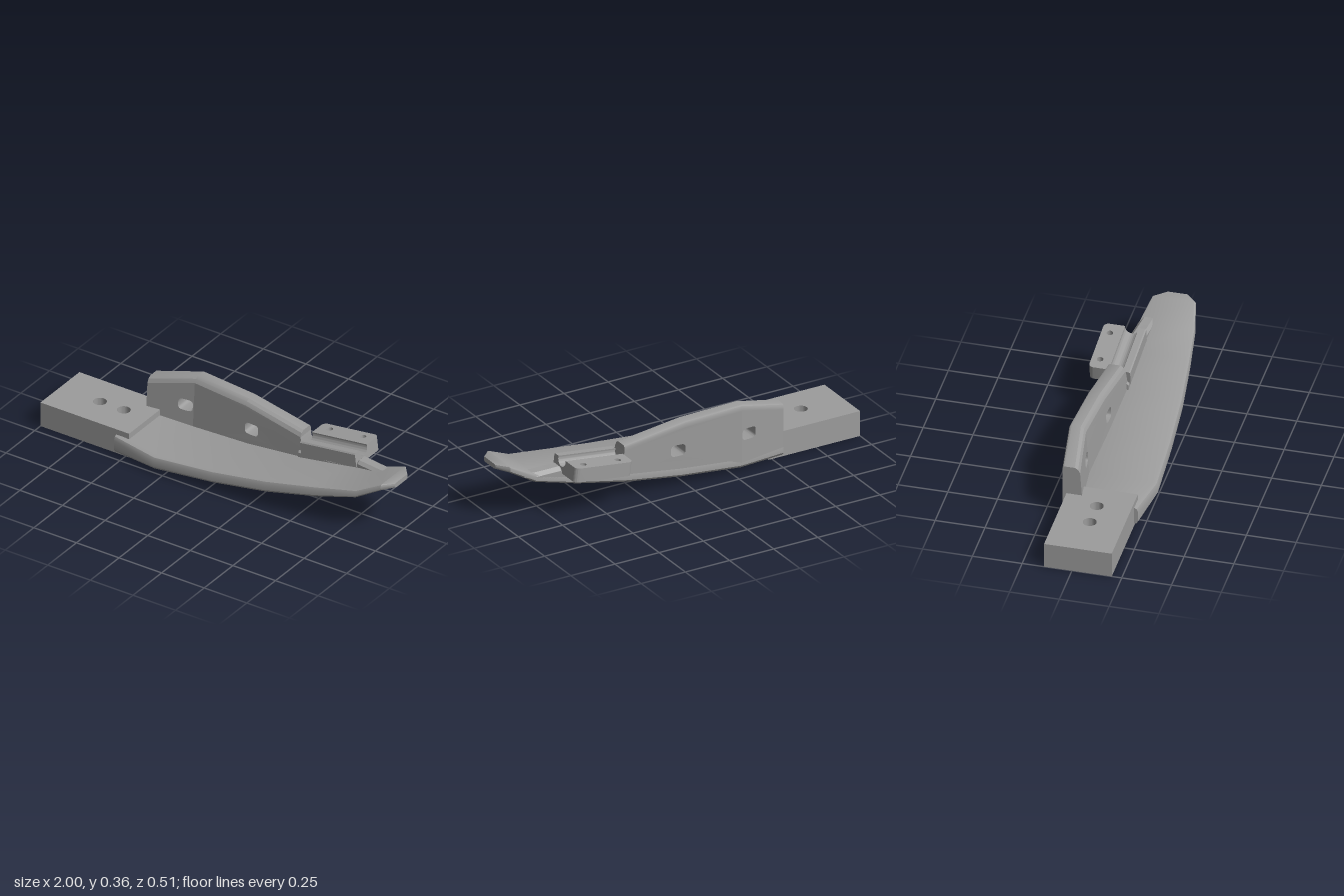
import * as THREE from 'three';
import { toCreasedNormals } from 'three/addons/utils/BufferGeometryUtils.js';

const grey = new THREE.MeshStandardMaterial({ color: 0x9c9c9c });
grey.name = 'plain grey';

// Hull stations: x, back z, front z, bottom y, deck y
const STATIONS = [
  [-0.555, -0.16, 0.22, 0.003, 0.108], [-0.3, -0.19, 0.255, 0.012, 0.092],
  [0.03, -0.175, 0.24, 0.04, 0.115], [0.33, -0.16, 0.22, 0.08, 0.153],
  [0.6, -0.142, 0.19, 0.132, 0.198], [0.82, -0.122, 0.16, 0.19, 0.237],
  [0.95, -0.09, 0.13, 0.262, 0.298], [1, -0.03, 0.08, 0.272, 0.298],
];

// Linear lookup of a station column at any x
function at(x, col) {
  let i = 0;
  while (i < STATIONS.length - 2 && x > STATIONS[i + 1][0]) i++;
  const a = STATIONS[i], b = STATIONS[i + 1];
  return a[col] + (b[col] - a[col]) * (x - a[0]) / (b[0] - a[0]);
}

// Skin a row of [x, ring of [z, y]] sections and close both ends
function loft(sections) {
  const pos = [], idx = [], n = sections[0][1].length, last = (sections.length - 1) * n;
  for (const [x, ring] of sections) for (const [z, y] of ring) pos.push(x, y, z);
  for (let s = 0; s < sections.length - 1; s++) {
    for (let i = 0; i < n; i++) {
      const a = s * n + i, d = s * n + (i + 1) % n;
      idx.push(a, a + n, d, d, a + n, d + n);
    }
  }
  for (let i = 1; i < n - 1; i++) idx.push(0, i, i + 1, last, last + i + 1, last + i);
  const g = new THREE.BufferGeometry();
  g.setAttribute('position', new THREE.Float32BufferAttribute(pos, 3));
  g.setIndex(idx);
  return toCreasedNormals(g, 0.55);
}

// Rounded square (power 4) or round (power 2) opening
function opening(cx, cy, rx, ry, power) {
  const pts = [];
  for (let i = 0; i < 24; i++) {
    const a = i / 24 * Math.PI * 2, c = Math.cos(a), s = Math.sin(a);
    pts.push(new THREE.Vector2(
      cx + rx * Math.sign(c) * Math.abs(c) ** (2 / power),
      cy + ry * Math.sign(s) * Math.abs(s) ** (2 / power)));
  }
  return new THREE.Path(pts);
}

function polygon(points, holes = []) {
  const s = new THREE.Shape(points.map(p => new THREE.Vector2(...p)));
  s.holes.push(...holes);
  return s;
}

function extrude(shape, depth) {
  return new THREE.ExtrudeGeometry(shape, { depth, bevelEnabled: false, curveSegments: 20 });
}

function add(parent, name, geometry) {
  const mesh = new THREE.Mesh(geometry, grey);
  mesh.name = name;
  parent.add(mesh);
  return mesh;
}

const wallFront = (x, y) => at(x, 1) + 0.1 - 0.07 * (y - 0.1);

// Upright wall panel: extruded with its slot, then bent to follow the hull edge
function wallPanel(outline, slotX) {
  const g = extrude(polygon(outline, [opening(slotX, 0.198, 0.04, 0.03, 4)]), 1);
  const p = g.attributes.position;
  for (let i = 0; i < p.count; i++) {
    const x = p.getX(i), y = p.getY(i), back = at(x, 1);
    p.setZ(i, back + (wallFront(x, y) - back) * p.getZ(i));
  }
  return toCreasedNormals(g, 0.55);
}

export function createModel() {
  const model = new THREE.Group();
  model.name = 'curvedRunner';

  // Mounting block with two bolt holes
  const block = extrude(polygon(
    [[-1, -0.2], [-0.48, -0.2], [-0.48, 0.14], [-1, 0.14]],
    [-0.765, -0.625].map(x => opening(x, -0.03, 0.034, 0.034, 2))), 0.135);
  block.rotateX(-Math.PI / 2);
  add(model, 'mountingBlock', toCreasedNormals(block, 0.5));

  // Upswept hull with rounded edges
  add(model, 'hull', loft(STATIONS.map(([x, zb, zf, b, t]) => {
    const k = Math.min(1, (t - b) / 0.09);
    return [x, [
      [zb + 0.045 * k, b], [zf - 0.045 * k, b], [zf - 0.01 * k, b + 0.012 * k],
      [zf, b + 0.026 * k], [zf, t - 0.026 * k], [zf - 0.008 * k, t - 0.008 * k],
      [zf - 0.026 * k, t], [zb + 0.026 * k, t], [zb + 0.008 * k, t - 0.008 * k],
      [zb, t - 0.026 * k], [zb, b + 0.026 * k], [zb + 0.01 * k, b + 0.012 * k],
    ]];
  })));

  // Side wall in two panels, meeting at the widest station
  add(model, 'rearWall', wallPanel(
    [[-0.555, 0.06], [-0.3, 0.05], [-0.3, 0.33], [-0.555, 0.262]], -0.345));
  add(model, 'mainWall', wallPanel(
    [[-0.3, 0.05], [0.03, 0.075], [0.36, 0.12], [0.36, 0.185], [0.345, 0.26],
      [0.01, 0.315], [-0.3, 0.33]], 0.05));

  // Rounded top edge of the wall
  const crest = [[-0.555, 0.292], [-0.3, 0.36], [0.01, 0.345], [0.345, 0.29]];
  add(model, 'wallTopEdge', loft(crest.map(([x, y]) => {
    const b = at(x, 1), f = wallFront(x, y - 0.03);
    return [x, [[b, y - 0.03], [f, y - 0.03], [f - 0.01, y - 0.01],
      [f - 0.026, y], [b + 0.012, y], [b + 0.004, y - 0.004], [b, y - 0.014]]];
  })));

  // Low rib carrying the clip and fading into the tip
  const rib = [[0.34, 0.195], [0.52, 0.205], [0.67, 0.228], [0.69, 0.249], [0.82, 0.243], [0.88, 0.25]];
  add(model, 'rib', loft(rib.map(([x, y]) => {
    const b = at(x, 1), base = at(x, 4) - 0.03, f = x > 0.7 ? -0.045 : -0.055;
    return [x, [[b, base], [f, base], [f, y - 0.015], [f - 0.015, y],
      [b + 0.018, y], [b, y - 0.018]]];
  })));

  // Clip: grooved channel with a drilled tab behind it
  const clip = new THREE.Group();
  clip.name = 'clip';
  clip.position.set(0.52, 0.233, 0);
  clip.rotation.z = 0.125;
  model.add(clip);

  const profile = new THREE.Shape();
  profile.moveTo(0.05, -0.037);
  profile.lineTo(0.162, -0.037);
  profile.lineTo(0.162, 0.037);
  profile.absarc(0.122, 0.03, 0.035, 0.2, Math.PI - 0.2, true);
  profile.lineTo(0.056, 0.037);
  profile.lineTo(0.05, 0.031);
  const channel = extrude(profile, 0.325);
  channel.translate(0, 0, -0.1625);
  channel.rotateY(Math.PI / 2);
  add(clip, 'channel', toCreasedNormals(channel, 0.5));

  const outline = new THREE.Shape();
  outline.moveTo(-0.1625, 0.16);
  outline.lineTo(0.1625, 0.16);
  outline.absarc(0.1375, 0.235, 0.025, 0, Math.PI / 2, false);
  outline.absarc(-0.1375, 0.235, 0.025, Math.PI / 2, Math.PI, false);
  outline.holes.push(...[-0.098, 0.098].map(x => opening(x, 0.217, 0.016, 0.016, 2)));
  const tab = extrude(outline, 0.074);
  tab.rotateX(-Math.PI / 2);
  tab.translate(0, -0.037, 0);
  add(clip, 'tab', toCreasedNormals(tab, 0.5));

  return model;
}
